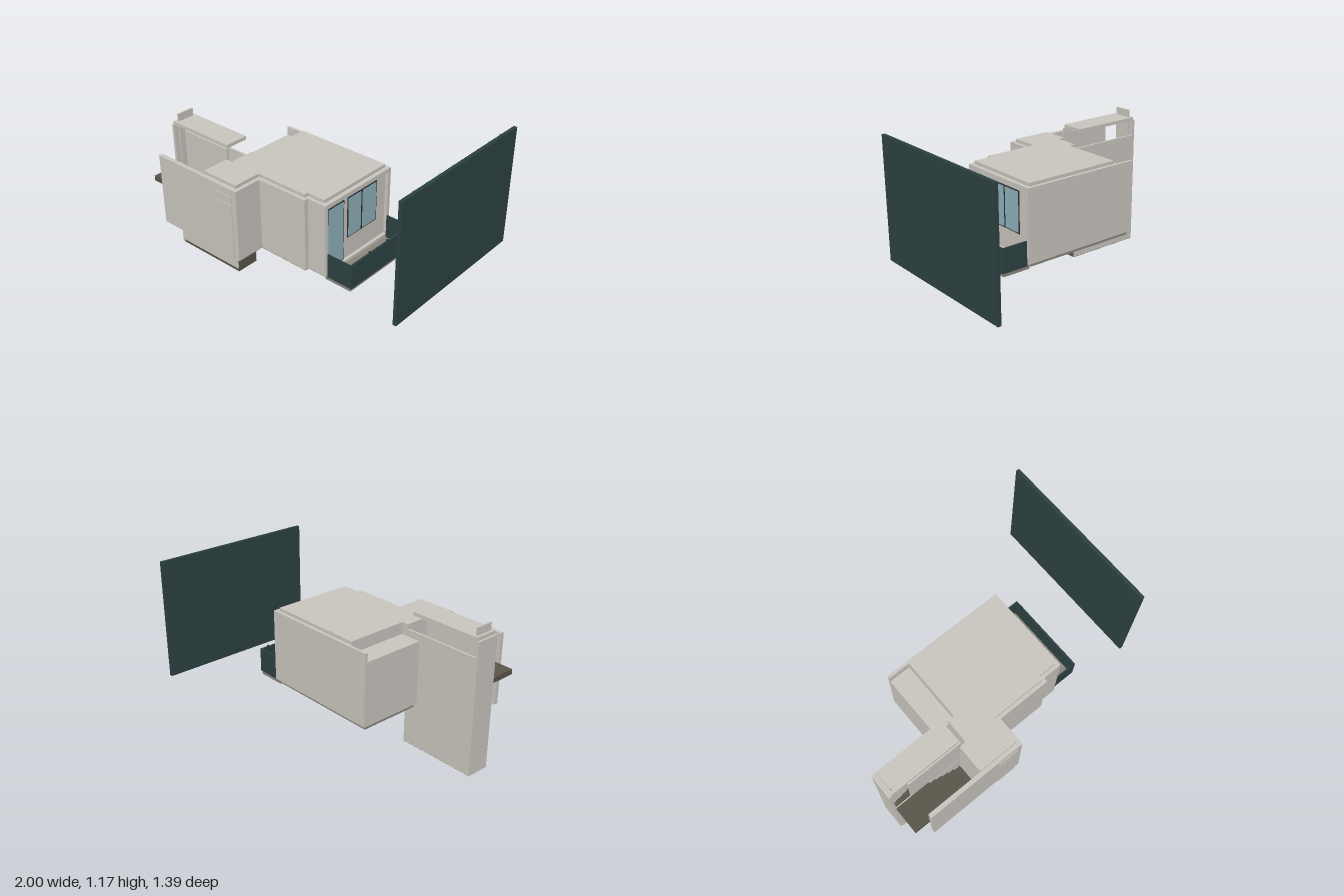
import * as THREE from 'three';

const mat = (name, color) => {
  const m = new THREE.MeshStandardMaterial({ color });
  m.name = name;
  return m;
};

export function createModel() {
  const plaster = mat('plaster', 0xc9c5be);
  const concrete = mat('concrete', 0x8a857d);
  const stairBrown = mat('stairBrown', 0x5a554b);
  const teal = mat('tealPanel', 0x2d4141);
  const glass = mat('glass', 0x8fb0ba);
  const frameDark = mat('windowFrame', 0x2b3032);

  const model = new THREE.Group();
  model.name = 'house';
  const add = (name, geo, material) => {
    const mesh = new THREE.Mesh(geo, material);
    mesh.name = name;
    model.add(mesh);
    return mesh;
  };
  // Box given by its limits on each axis
  const box = (name, material, [x0, x1], [y0, y1], [z0, z1]) =>
    add(name, new THREE.BoxGeometry(x1 - x0, y1 - y0, z1 - z0), material)
      .position.set((x0 + x1) / 2, (y0 + y1) / 2, (z0 + z1) / 2);
  // Floor plan outline [x, z] raised from y0 to y1
  const plan = (name, material, pts, y0, y1) => {
    const shape = new THREE.Shape(pts.map(([x, z]) => new THREE.Vector2(x, -z)));
    const geo = new THREE.ExtrudeGeometry(shape, { depth: y1 - y0, bevelEnabled: false });
    geo.rotateX(-Math.PI / 2).translate(0, y0, 0);
    return add(name, geo, material);
  };

  // Main rooms with a stepped front
  plan('mainRooms', plaster, [
    [-0.36, -0.2], [0.37, -0.2], [0.37, 0.45], [0.25, 0.45], [0.25, 0.48], [-0.14, 0.48],
    [-0.14, 0.69], [-0.46, 0.69], [-0.46, 0.46], [-0.41, 0.46], [-0.41, 0.28], [-0.36, 0.28],
  ], 0.34, 0.862);
  plan('roofSlab', plaster, [
    [-0.36, -0.175], [0.362, -0.175], [0.362, 0.425], [0.228, 0.425], [0.228, 0.455], [-0.168, 0.455],
    [-0.168, 0.66], [-0.46, 0.66], [-0.46, 0.46], [-0.41, 0.46], [-0.41, 0.28], [-0.36, 0.28],
  ], 0.862, 0.885);
  plan('floorSlab', concrete, [
    [-0.5, -0.18], [0.362, -0.18], [0.362, 0.425], [0.228, 0.425], [0.228, 0.455], [-0.168, 0.455],
    [-0.168, 0.66], [-0.41, 0.66], [-0.41, 0.27], [-0.5, 0.27],
  ], 0.312, 0.34);

  // Lower rear corner with its parapet
  box('rearCornerRoom', plaster, [-0.515, -0.36], [0.34, 0.8], [-0.2, 0.28]);
  box('rearParapet', plaster, [-0.515, -0.36], [0.8, 0.862], [-0.2, -0.18]);

  // Front screen wall and its door panel
  box('frontScreenWall', plaster, [-0.87, -0.46], [0.34, 0.862], [0.66, 0.69]);
  box('doorPanel', plaster, [-0.33, -0.18], [0.345, 0.745], [0.685, 0.695]);
  box('doorTransom', plaster, [-0.33, -0.18], [0.752, 0.81], [0.685, 0.695]);

  // Raised border of the window wall
  const wallX = [0.37, 0.392];
  box('facadeBorderTop', plaster, wallX, [0.832, 0.862], [-0.2, 0.45]);
  box('facadeBorderBottom', plaster, wallX, [0.34, 0.36], [-0.2, 0.45]);
  for (const z of [[-0.2, -0.172], [0.425, 0.45]])
    box('facadeBorderSide', plaster, wallX, [0.36, 0.832], z);

  // Balcony door and the two-pane window
  const pane = (name, y0, y1, z0, z1) => {
    const t = 0.008;
    box(name + 'Frame', frameDark, [0.369, 0.374], [y0, y1], [z0, z1]);
    box(name + 'Glass', glass, [0.37, 0.377], [y0 + t, y1 - t], [z0 + t, z1 - t]);
  };
  pane('balconyDoor', 0.36, 0.81, 0.25, 0.41);
  pane('windowFront', 0.51, 0.81, 0.075, 0.215);
  pane('windowRear', 0.51, 0.81, -0.08, 0.075);

  // Balcony
  box('balconyFloor', concrete, [0.37, 0.578], [0.3, 0.328], [-0.178, 0.425]);
  box('balconyFrontPanel', teal, [0.574, 0.588], [0.325, 0.5], [-0.183, 0.43]);
  for (const z of [[-0.183, -0.172], [0.42, 0.43]])
    box('balconySidePanel', teal, [0.392, 0.574], [0.325, 0.5], z);
  for (const z of [-0.12, 0.06, 0.24])
    box('balconyRailClip', frameDark, [0.573, 0.585], [0.498, 0.51], [z - 0.005, z + 0.005]);

  // Stair tower: base, walls and canopy
  box('towerBase', stairBrown, [-0.985, -0.41], [0, 0.03], [0.285, 0.455]);
  box('towerEndWall', stairBrown, [-0.43, -0.408], [0.01, 0.312], [0.287, 0.455]);
  box('towerOuterWall', plaster, [-1, -0.98], [0, 0.963], [0.28, 0.455]);
  box('towerBackWall', plaster, [-0.985, -0.41], [0.005, 0.85], [0.28, 0.295]);
  box('towerFrontWall', plaster, [-0.985, -0.41], [0.03, 0.612], [0.45, 0.465]);
  box('towerUpperWall', plaster, [-0.86, -0.45], [0.612, 0.963], [0.445, 0.463]);
  box('towerCanopy', plaster, [-0.985, -0.455], [0.963, 0.988], [0.28, 0.452]);
  box('towerFin', plaster, [-0.967, -0.955], [0.65, 1.043], [0.3, 0.43]);

  // Lower flight, rising towards the rooms
  const lowerSteps = 9;
  for (let i = 0; i < lowerSteps; i++) {
    const x = -0.86 + i * 0.048;
    box('lowerStep', stairBrown, [x, x + 0.048], [0.03, 0.03 + (i + 1) * 0.031], [0.293, 0.452]);
  }

  // Landing and upper flight, stepping down behind the screen wall
  box('landing', stairBrown, [-0.985, -0.72], [0.612, 0.65], [0.465, 0.66]);
  for (let i = 0; i < 6; i++) {
    const x = -0.72 + i * 0.05, top = 0.605 - i * 0.045;
    box('upperStep', stairBrown, [x, x + 0.05], [Math.max(0.34, top - 0.09), top], [0.465, 0.66]);
  }
  box('upperFlightBase', stairBrown, [-0.77, -0.41], [0.315, 0.34], [0.465, 0.66]);

  // Free-standing side screen with ribs on its inner face
  box('sideScreen', teal, [0.975, 1], [0.303, 1.168], [-0.693, 0.51]);
  for (let i = 0; i < 8; i++) {
    const z = -0.54 + i * 0.13;
    box('screenRib', teal, [0.969, 0.976], [0.6, 1.165], [z - 0.004, z + 0.004]);
  }
  return model;
}
